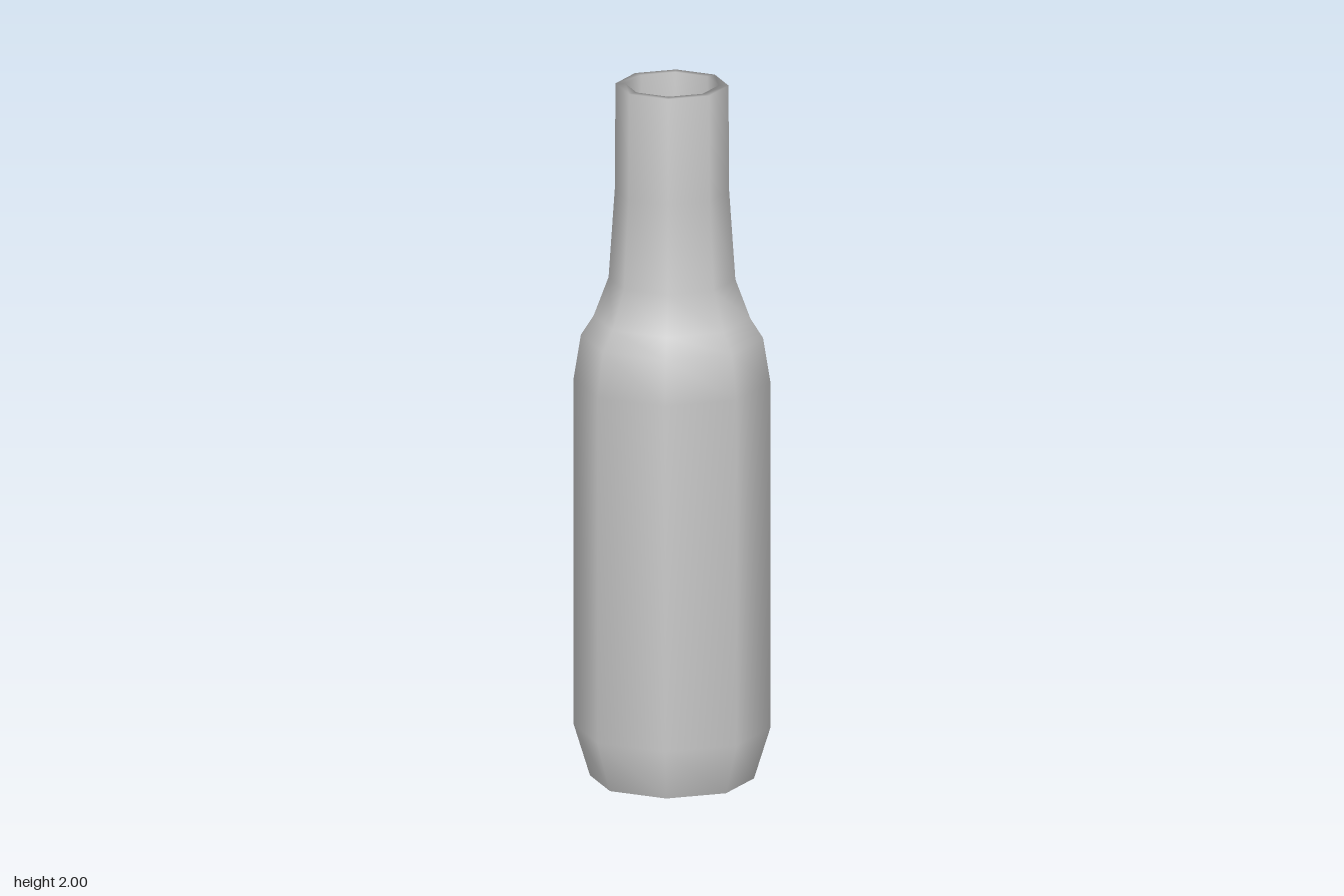
import * as THREE from 'three';

const SIDES = 8;

export function createModel() {
  const group = new THREE.Group();
  group.name = 'bottle';
  const material = new THREE.MeshStandardMaterial({ color: 0xcccccc });

  // Turns a [radius, height] profile into a smooth eight-sided shell
  function addShell(name, profile) {
    const points = profile.map(([r, y]) => new THREE.Vector2(r, y));
    const mesh = new THREE.Mesh(new THREE.LatheGeometry(points, SIDES), material);
    mesh.name = name;
    group.add(mesh);
  }

  // Outer wall: base edge, straight body, shoulder, tapered neck
  const outer = [
    [0.225, 0.035], [0.27, 0.18], [0.27, 1.16], [0.25, 1.285],
    [0.215, 1.34], [0.174, 1.45], [0.157, 1.7], [0.155, 2],
  ];

  // Inner wall follows the outer one at the glass thickness, from rim down
  const wall = 0.027;
  const inner = outer.map(([r, y]) => [r - wall, y < 0.2 ? y + wall : y]).reverse();

  // Body, rim and hollow inside
  addShell('bottleBody', [...outer, ...inner, [0, wall]]);

  // Slightly pointed underside
  addShell('base', [[0, 0], outer[0]]);

  return group;
}
